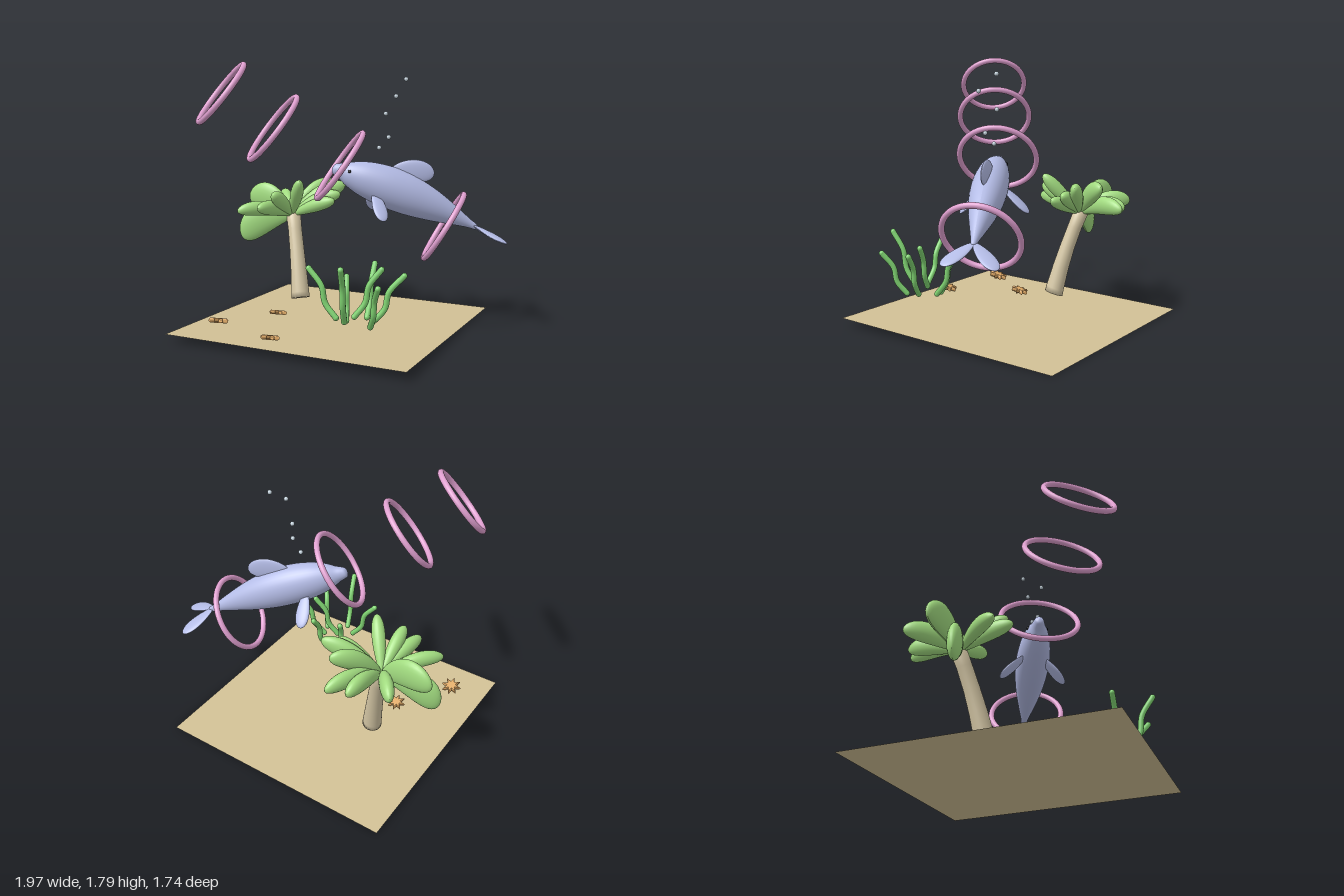
import * as THREE from 'three';

const V = (x, y, z) => new THREE.Vector3(x, y, z);
const mat = (color, extra = {}) => new THREE.MeshStandardMaterial({ color, ...extra });
const UP = V(0, 1, 0);

export function createModel() {
  const model = new THREE.Group();
  const sand = mat(0xd2c196, { side: THREE.DoubleSide }), bark = mat(0xd6c8a6);
  const leaf = mat(0xa2dc80), weed = mat(0x80d472), pink = mat(0xe0a0d0);
  const skin = mat(0xb4bce6), black = mat(0x111111), bubble = mat(0xc4d2dc);
  const star = mat(0xe0aa66, { flatShading: true });

  function add(name, geometry, material, parent = model) {
    const mesh = new THREE.Mesh(geometry, material);
    mesh.name = name;
    parent.add(mesh);
    return mesh;
  }
  function group(name) {
    const g = new THREE.Group();
    g.name = name;
    model.add(g);
    return g;
  }
  function ball(name, p, r, material, parent) {
    add(name, new THREE.SphereGeometry(r, 16, 12), material, parent).position.set(...p);
  }
  // Flattened blade from a to b, broad along wideDir, tapered to its root and arched
  function blade(name, a, b, wide, thick, wideDir, material, parent, bend = 0, taper = 0.3) {
    const A = V(...a), B = V(...b), y = B.clone().sub(A), len = y.length();
    y.normalize();
    const z = wideDir.clone().cross(y).normalize(), x = y.clone().cross(z);
    const g = new THREE.SphereGeometry(1, 24, 18), p = g.attributes.position;
    for (let i = 0; i < p.count; i++) {
      const t = p.getY(i), k = 1 + taper * t;
      p.setXYZ(i, p.getX(i) * k * wide / 2 + bend * (1 - t * t), t * len / 2, p.getZ(i) * k * thick / 2);
    }
    g.applyMatrix4(new THREE.Matrix4().makeBasis(x, y, z).setPosition(A.add(B).multiplyScalar(0.5)));
    g.computeVertexNormals();
    add(name, g, material, parent);
  }

  // Sandy floor, rising a little towards the front
  const floor = add('sandFloor', new THREE.PlaneGeometry(1.66, 1.66), sand);
  const fx = V(1.66, -0.003, -0.085).normalize(), fz = V(0.09, 0.055, 1.66).normalize();
  const fy = fz.clone().cross(fx).normalize();
  floor.geometry.rotateX(-Math.PI / 2);
  floor.geometry.applyMatrix4(new THREE.Matrix4().makeBasis(fx, fy, fy.clone().cross(fx).negate()));
  floor.position.set(-0.105, 0.033, -0.003);

  // Palm trunk: flared, gently curved column
  const palm = group('palmTree');
  const trunkBase = V(-0.452, 0.125, -0.1), trunkDir = V(-0.14, 0.6, -0.14);
  const trunkProfile = [[0, 0], [0.066, 0], [0.064, 0.04], [0.057, 0.2], [0.052, 0.35], [0.05, 0.5], [0.053, 0.62], [0, 0.63]];
  const trunk = new THREE.LatheGeometry(trunkProfile.map(p => new THREE.Vector2(...p)), 28);
  const tp = trunk.attributes.position;
  for (let i = 0; i < tp.count; i++) {
    const t = tp.getY(i) / 0.63, s = 0.04 * t * (1 - t);
    tp.setX(i, tp.getX(i) + s);
    tp.setZ(i, tp.getZ(i) + s);
  }
  trunk.computeVertexNormals();
  const trunkMesh = add('trunk', trunk, bark, palm);
  trunkMesh.position.copy(trunkBase);
  trunkMesh.quaternion.setFromUnitVectors(UP, trunkDir.normalize());

  // Palm leaves: tip, height of blade, arch
  const leaves = [
    [[-0.97, 0.83, -0.25], 0.2, 0.04], [[-0.95, 0.54, -0.09], 0.21, 0.05],
    [[-0.83, 0.8, -0.49], 0.13, 0.03], [[-0.585, 0.78, -0.59], 0.12, 0.03],
    [[-0.46, 0.78, -0.64], 0.12, 0.04], [[-0.4, 0.93, -0.51], 0.13, 0.03],
    [[-0.25, 0.93, -0.4], 0.12, 0.02], [[-0.24, 0.87, -0.31], 0.1, 0.02],
    [[-0.24, 0.83, -0.22], 0.09, 0.01], [[-0.41, 0.98, -0.03], 0.09, 0],
    [[-0.56, 0.89, 0.08], 0.1, 0.01], [[-0.64, 0.8, 0.15], 0.1, 0.02],
    [[-0.84, 0.76, 0.11], 0.1, 0.03],
  ];
  for (const [tip, wide, bend] of leaves)
    blade('palmLeaf', [-0.59, 0.7, -0.22], tip, wide, 0.085, UP, leaf, palm, bend, 0.35);

  // Hoops: centre, radius, axis
  const hoops = [
    [[-0.616, 1.6, 0.58], 0.229, [-0.577, 0.625, 0.525]],
    [[-0.365, 1.375, 0.372], 0.249, [-0.61, 0.61, 0.5]],
    [[-0.034, 1.12, 0.08], 0.262, [-0.7, 0.58, 0.41]],
    [[0.57, 0.707, -0.268], 0.252, [-0.8, 0.52, 0.295]],
  ];
  for (const [c, r, n] of hoops) {
    const hoop = add('hoop', new THREE.TorusGeometry(r, 0.02, 16, 64), pink);
    hoop.position.set(...c);
    hoop.quaternion.setFromUnitVectors(V(0, 0, 1), V(...n).normalize());
  }

  // Dolphin body: lathe from tail to beak, arched, taller than wide
  const dolphin = group('dolphin');
  const nose = V(-0.08, 1.105, 0.1), tail = V(0.765, 0.7, -0.37);
  const F = nose.clone().sub(tail), L = F.length();
  F.normalize();
  const side = F.clone().cross(UP).normalize(), top = side.clone().cross(F);
  const profile = [[0, 0], [0.018, 0.005], [0.03, 0.06], [0.062, 0.17], [0.1, 0.31], [0.126, 0.45], [0.135, 0.57],
    [0.131, 0.68], [0.113, 0.79], [0.083, 0.88], [0.056, 0.93], [0.043, 0.965], [0.03, 0.99], [0, 1]];
  const curve = new THREE.SplineCurve(profile.map(p => new THREE.Vector2(...p)));
  const body = new THREE.LatheGeometry(curve.getPoints(48).map(p => new THREE.Vector2(Math.max(0, p.x), p.y * L)), 36);
  const bp = body.attributes.position;
  for (let i = 0; i < bp.count; i++) {
    const t = bp.getY(i) / L;
    bp.setX(i, bp.getX(i) * 0.87);
    bp.setZ(i, bp.getZ(i) * 1.03 + 0.1 * t * (1 - t));
  }
  body.applyMatrix4(new THREE.Matrix4().makeBasis(side, F, top).setPosition(tail));
  body.computeVertexNormals();
  add('body', body, skin, dolphin);

  // Fins, flippers, flukes and eyes
  blade('dorsalFin', [0.25, 1.08, -0.1], [0.515, 1.065, -0.225], 0.15, 0.035, UP, skin, dolphin, 0.01, 0.15);
  blade('leftFlipper', [0.18, 0.96, 0.0], [0.31, 0.78, 0.125], 0.095, 0.035, F, skin, dolphin);
  blade('rightFlipper', [0.13, 0.96, -0.08], [0.05, 0.785, -0.245], 0.095, 0.035, F, skin, dolphin);
  const root = [0.745, 0.715, -0.36], flukes = [[0.825, 0.595, -0.59], [0.99, 0.615, -0.325]];
  for (const tip of flukes)
    blade('tailFluke', root, tip, 0.105, 0.03, F, skin, dolphin);
  ball('leftEye', [0.048, 1.085, 0.095], 0.013, black, dolphin);
  ball('rightEye', [-0.008, 1.085, -0.012], 0.013, black, dolphin);

  // Bubbles
  const bubbles = [[0.32, 1.685, -0.19], [0.315, 1.578, -0.042], [0.212, 1.46, -0.107], [0.26, 1.31, -0.05], [0.185, 1.237, -0.062]];
  for (const p of bubbles) ball('bubble', p, 0.015, bubble);

  // Seaweed: base, tip
  const seaweed = group('seaweed');
  const stalks = [
    [[0.18, 0.23, 0.535], [0, 0.53, 0.555]], [[0.265, 0.23, 0.585], [0.32, 0.59, 0.735]],
    [[0.41, 0.2, 0.52], [0.52, 0.48, 0.645]], [[0.27, 0.23, 0.46], [0.42, 0.53, 0.385]],
    [[0.38, 0.2, 0.44], [0.56, 0.5, 0.355]], [[0.3, 0.2, 0.345], [0.27, 0.51, 0.17]],
    [[0.187, 0.18, 0.41], [0.14, 0.44, 0.315]],
  ];
  for (const [a, b] of stalks) {
    const A = V(...a), B = V(...b), across = B.clone().sub(A).setY(0);
    const at = (t, s) => A.clone().lerp(B, t).addScaledVector(across, s);
    const path = new THREE.CatmullRomCurve3([A, at(0.3, 0.1), at(0.65, -0.12), B]);
    add('stalk', new THREE.TubeGeometry(path, 24, 0.019, 10), weed, seaweed);
    ball('stalkEnd', a, 0.019, weed, seaweed);
    ball('stalkEnd', b, 0.019, weed, seaweed);
  }

  // Starfish: faceted eight-pointed stars
  const outline = new THREE.Shape();
  for (let i = 0; i < 16; i++) {
    const r = i % 2 ? 0.026 : 0.054, a = i * Math.PI / 8;
    outline[i ? 'lineTo' : 'moveTo'](r * Math.cos(a), r * Math.sin(a));
  }
  outline.closePath();
  const starGeo = new THREE.ExtrudeGeometry(outline, { depth: 0.012, bevelThickness: 0.008, bevelSize: 0.006, bevelSegments: 1 });
  starGeo.center().rotateX(-Math.PI / 2);
  for (const [x, y, z, s] of [[-0.45, 0.095, 0.205, 1], [-0.675, 0.108, 0.585, 1.1], [-0.205, 0.092, 0.69, 1]]) {
    const fish = add('starfish', starGeo, star);
    fish.position.set(x, y, z);
    fish.scale.setScalar(s);
    fish.rotation.set(-0.3, 0.2, 0.06);
  }
  return model;
}
